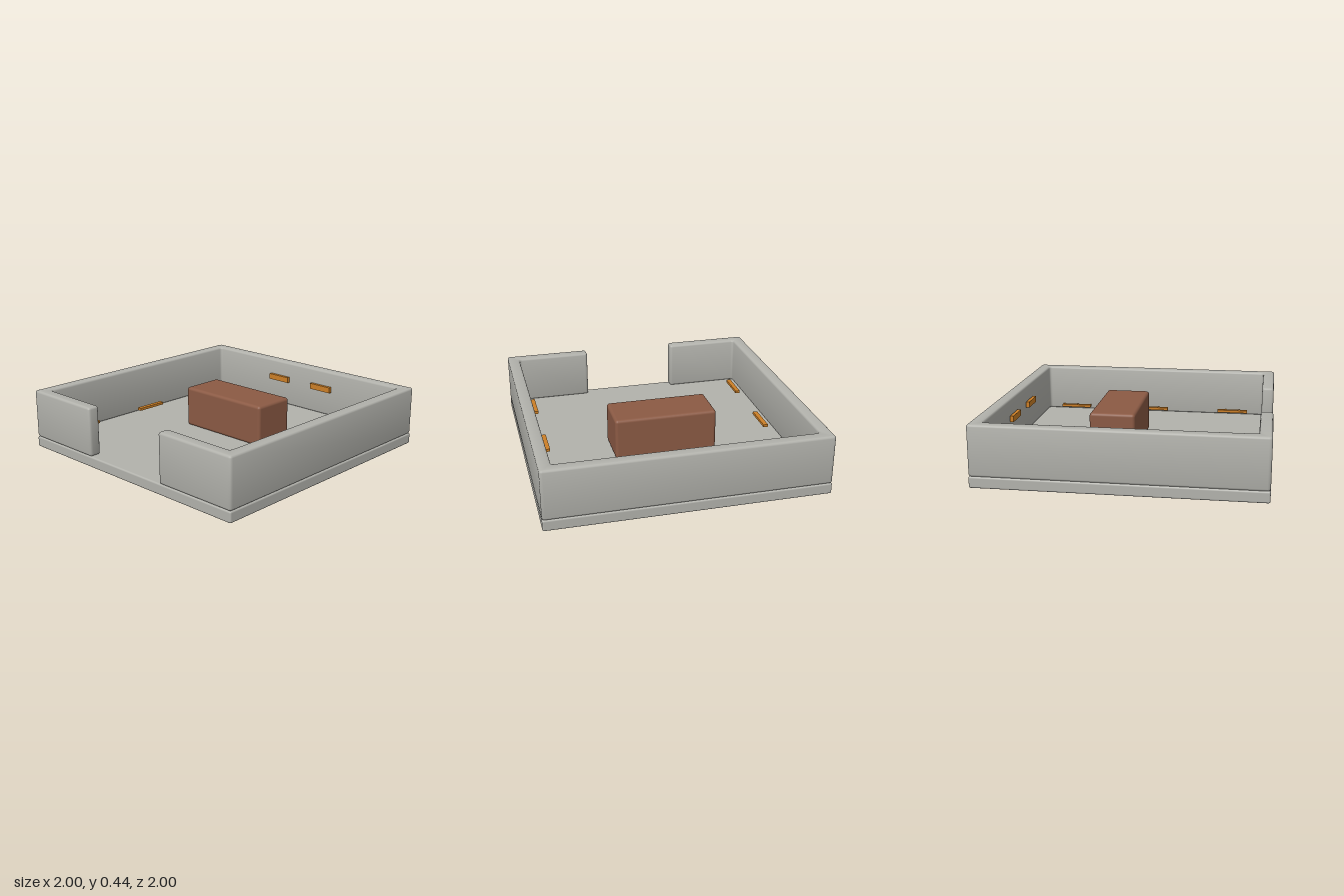
import * as THREE from 'three';
import { toCreasedNormals } from 'three/addons/utils/BufferGeometryUtils.js';
import { RoundedBoxGeometry } from 'three/addons/geometries/RoundedBoxGeometry.js';

const stone = new THREE.MeshStandardMaterial({ color: 0xb2b2ac });
stone.name = 'grey stone';
const wood = new THREE.MeshStandardMaterial({ color: 0x8b5a44 });
wood.name = 'brown wood';
const amber = new THREE.MeshStandardMaterial({ color: 0xcc7f26 });
amber.name = 'amber';

function add(parent, name, geometry, material, x = 0, y = 0, z = 0) {
  const mesh = new THREE.Mesh(geometry, material);
  mesh.name = name;
  mesh.position.set(x, y, z);
  parent.add(mesh);
  return mesh;
}

// Closed shape through the points, each corner rounded by radius r
function roundedShape(points, r) {
  const pts = points.map(([x, y]) => new THREE.Vector2(x, y));
  const shape = new THREE.Shape();
  pts.forEach((p, i) => {
    const prev = pts[(i + pts.length - 1) % pts.length];
    const next = pts[(i + 1) % pts.length];
    const a = p.clone().add(prev.clone().sub(p).setLength(r));
    const b = p.clone().add(next.clone().sub(p).setLength(r));
    if (i === 0) shape.moveTo(a.x, a.y);
    else shape.lineTo(a.x, a.y);
    shape.quadraticCurveTo(p.x, p.y, b.x, b.y);
  });
  shape.closePath();
  return shape;
}

export function createModel() {
  const model = new THREE.Group();
  model.name = 'walled room';

  // Floor slab
  const floorTop = 0.08;
  add(model, 'floor', new RoundedBoxGeometry(2, floorTop, 2, 3, 0.012), stone, 0, floorTop / 2, 0);

  // One wall ring with a doorway gap on the -x side
  const inner = 0.912, door = 0.355, wallHeight = 0.36, bevel = 0.016;
  const outline = roundedShape([
    [-1, -1], [1, -1], [1, 1], [-1, 1], [-1, door], [-inner, door],
    [-inner, inner], [inner, inner], [inner, -inner], [-inner, -inner],
    [-inner, -door], [-1, -door],
  ], 0.022);
  const wall = new THREE.ExtrudeGeometry(outline, {
    depth: wallHeight - 2 * bevel, curveSegments: 4,
    bevelThickness: bevel, bevelSize: bevel, bevelOffset: -bevel, bevelSegments: 3,
  });
  wall.rotateX(-Math.PI / 2);
  add(model, 'walls', toCreasedNormals(wall, 0.7), stone, 0, floorTop + bevel, 0);

  // Solid table block
  add(model, 'table', new RoundedBoxGeometry(0.33, 0.305, 0.75, 4, 0.022), wood,
    0.135, floorTop + 0.1525, -0.004);

  // Low bars along the front and back walls
  const bar = new THREE.BoxGeometry(0.245, 0.02, 0.035);
  for (const side of [-1, 1]) {
    for (const x of [-0.667, -0.002, 0.663]) {
      add(model, side > 0 ? 'frontBar' : 'backBar', bar, amber, x, 0.123, side * 0.84);
    }
  }

  // Two plates on the inside of the closed side wall
  const plate = new THREE.BoxGeometry(0.026, 0.045, 0.195);
  for (const z of [-0.218, 0.213]) add(model, 'wallPlate', plate, amber, 0.891, 0.3, z);

  return model;
}
